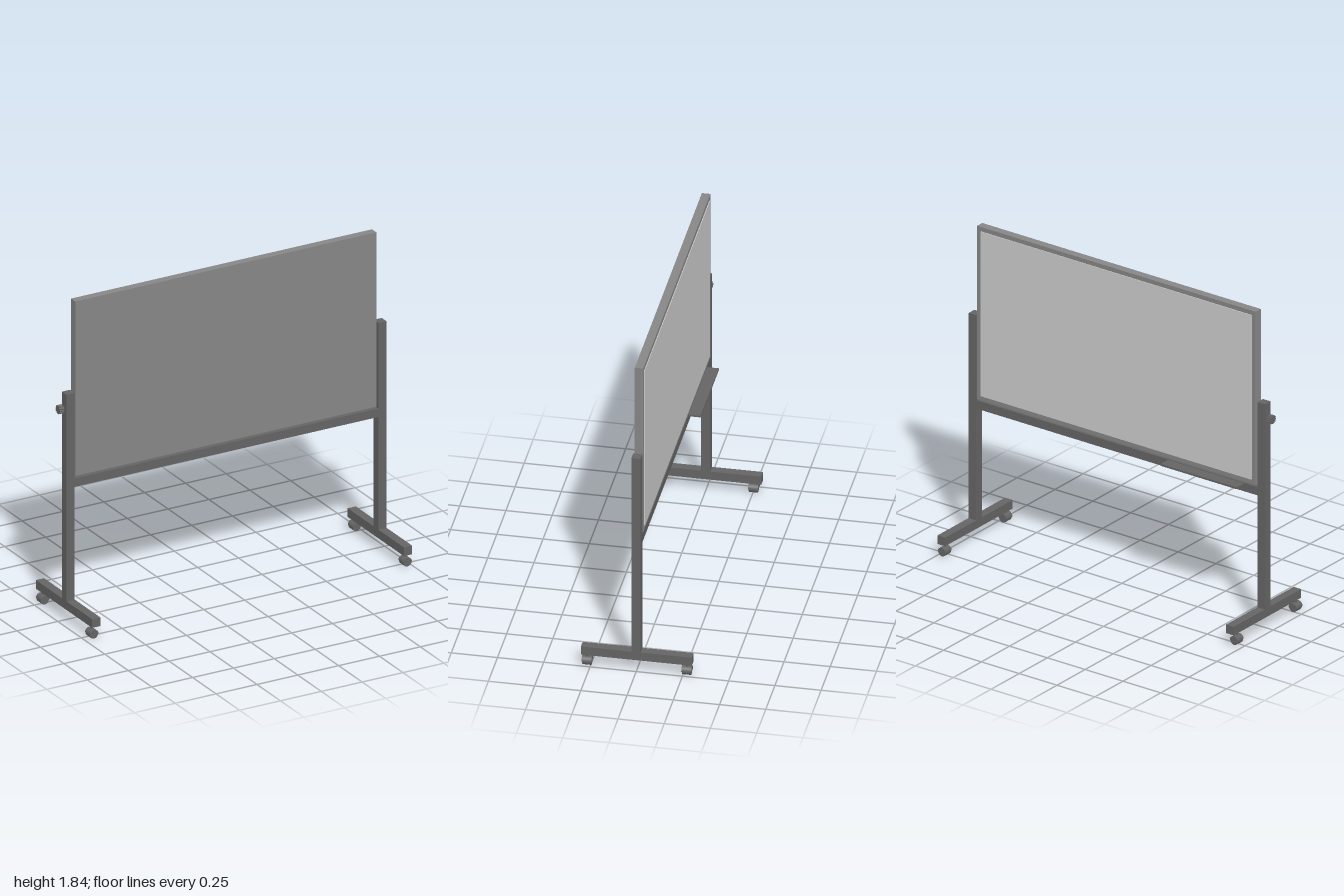
import * as THREE from 'three';

const paint = (color, options = {}) => new THREE.MeshStandardMaterial({ color, ...options });
const darkMetal = paint(0x646464);
const darkShell = paint(0x646464, { side: THREE.DoubleSide });
const boardGrey = paint(0x868686);
const sheetGrey = paint(0xcccccc);

function add(parent, name, material, geometry, x = 0, y = 0, z = 0) {
  const mesh = new THREE.Mesh(geometry, material);
  mesh.name = name;
  mesh.position.set(x, y, z);
  parent.add(mesh);
}

// box given by its extents along each axis
function box(parent, name, material, [x0, x1], [y0, y1], [z0, z1]) {
  add(parent, name, material, new THREE.BoxGeometry(x1 - x0, y1 - y0, z1 - z0),
    (x0 + x1) / 2, (y0 + y1) / 2, (z0 + z1) / 2);
}

// cylinder lying along x between x0 and x1
function rod(parent, name, radius, x0, x1, y) {
  const geometry = new THREE.CylinderGeometry(radius, radius, x1 - x0, 16).rotateZ(Math.PI / 2);
  add(parent, name, darkMetal, geometry, (x0 + x1) / 2, y, 0);
}

// twin-wheel caster rolling sideways, with a hood and a stem
function createCaster(x, z) {
  const caster = new THREE.Group();
  caster.name = 'caster';
  caster.position.set(x, 0, z);
  add(caster, 'casterStem', darkMetal, new THREE.CylinderGeometry(0.007, 0.007, 0.03, 12), 0, 0.056, 0);
  for (const side of [-1, 1]) {
    add(caster, 'wheel', darkMetal, new THREE.CylinderGeometry(0.025, 0.025, 0.022, 24).rotateX(Math.PI / 2),
      0, 0.025, side * 0.0125);
  }
  const hood = new THREE.CylinderGeometry(0.026, 0.026, 0.054, 24, 1, false, Math.PI / 2, Math.PI);
  add(caster, 'casterHood', darkShell, hood.rotateX(Math.PI / 2), 0, 0.025, 0);
  add(caster, 'axle', darkMetal, new THREE.CylinderGeometry(0.006, 0.006, 0.05, 12).rotateX(Math.PI / 2), 0, 0.025, 0);
  return caster;
}

export function createModel() {
  const model = new THREE.Group();
  model.name = 'mobileBoard';
  const pivotY = 1.226;

  // uprights with their feet and casters
  for (const side of [-1, 1]) {
    const stand = new THREE.Group();
    stand.name = side < 0 ? 'rightStand' : 'leftStand';
    const x = 0.017 + side * 0.954;
    const width = [x - 0.025, x + 0.025];
    box(stand, 'post', darkMetal, width, [0.118, 1.314], [-0.023, 0.027]);
    box(stand, 'foot', darkMetal, width, [0.068, 0.118], [-0.3, 0.3]);
    const casterX = side < 0 ? -0.947 : 0.971;
    stand.add(createCaster(casterX, 0.27));
    stand.add(createCaster(casterX, side < 0 ? -0.253 : -0.27));
    model.add(stand);
  }

  // rail between the posts
  box(model, 'crossRail', darkMetal, [-0.912, 0.946], [0.77, 0.819], [-0.023, 0.027]);

  // board with a pale writing sheet raised slightly from its back
  const board = new THREE.Group();
  board.name = 'board';
  board.position.set(0.017, 1.334, 0);
  const w = 0.921, h = 0.505, border = 0.025;
  box(board, 'boardPanel', boardGrey, [-w, w], [-h, h], [-0.026, 0.02]);
  box(board, 'writingSheet', sheetGrey, [border - w, w - border], [border - h, h - border], [-0.03, -0.02]);
  model.add(board);

  // pen tray at the back
  box(model, 'penTray', darkMetal, [-0.823, -0.323], [0.805, 0.816], [-0.088, -0.02]);

  // pivots and the ribbed locking knob
  rod(model, 'rightPivot', 0.007, -0.98, -0.9, pivotY);
  rod(model, 'leftPivot', 0.007, 0.93, 1.0, pivotY);
  const ribs = 12;
  const knob = new THREE.Shape();
  for (let i = 0; i < ribs * 4; i++) {
    const r = i % 4 < 2 ? 0.025 : 0.021;
    const a = (i / (ribs * 4)) * Math.PI * 2;
    knob[i ? 'lineTo' : 'moveTo'](r * Math.cos(a), r * Math.sin(a));
  }
  const knobGeometry = new THREE.ExtrudeGeometry(knob, { depth: 0.027, bevelEnabled: false });
  add(model, 'lockingKnob', darkMetal, knobGeometry.rotateY(Math.PI / 2), -1, pivotY, 0);

  return model;
}
